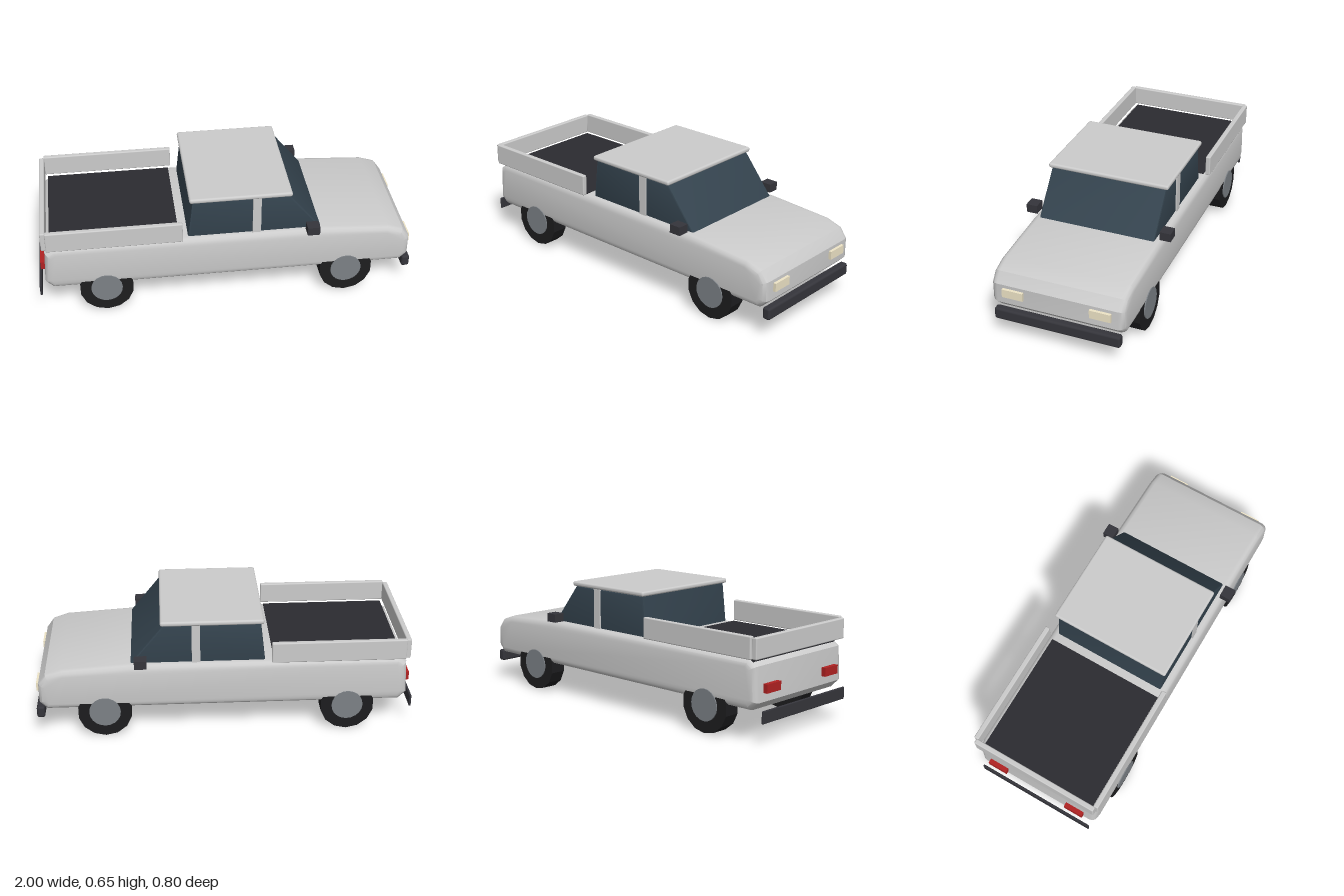
import * as THREE from 'three';
import { toCreasedNormals } from 'three/addons/utils/BufferGeometryUtils.js';
import { RoundedBoxGeometry } from 'three/addons/geometries/RoundedBoxGeometry.js';

const material = (color) => new THREE.MeshStandardMaterial({ color });
const paint = material(0xcccccc);
const glass = material(0x34434e);
const trim = material(0x35353b);
const bedLiner = material(0x2b2b30);
const rubber = material(0x1d1d1f);
const hubGrey = material(0x7c8186);
const lampCream = material(0xeee4c6);
const lampRed = material(0xb02222);

export function createModel() {
  const truck = new THREE.Group();
  truck.name = 'pickupTruck';

  function add(name, geometry, mat) {
    const mesh = new THREE.Mesh(geometry, mat);
    mesh.name = name;
    truck.add(mesh);
    return mesh;
  }

  // Box given by its extents; a radius rounds its edges
  function box(name, mat, [x0, x1], [y0, y1], [z0, z1], radius = 0) {
    const size = [x1 - x0, y1 - y0, z1 - z0];
    const geometry = radius
      ? new RoundedBoxGeometry(...size, 2, radius)
      : new THREE.BoxGeometry(...size);
    add(name, geometry, mat).position.set((x0 + x1) / 2, (y0 + y1) / 2, (z0 + z1) / 2);
  }

  // Side profile extruded across the width, growing by the bevel towards the middle
  function profileSolid(name, mat, points, halfWidth, bevel, segments) {
    const shape = new THREE.Shape(points.map(([x, y]) => new THREE.Vector2(x, y)));
    const depth = 2 * (halfWidth - bevel);
    const geometry = new THREE.ExtrudeGeometry(shape, {
      depth, bevelEnabled: true, bevelThickness: bevel, bevelSize: bevel, bevelSegments: segments,
    });
    geometry.translate(0, 0, -depth / 2);
    add(name, toCreasedNormals(geometry, 0.55), mat);
  }

  // Lower body with sloping bonnet
  profileSolid('body', paint, [
    [-0.93, 0.22], [-0.91, 0.2], [0.925, 0.2], [0.945, 0.22], [0.945, 0.3], [0.92, 0.335],
    [0.85, 0.358], [0.5, 0.38], [-0.9, 0.38], [-0.922, 0.365],
  ], 0.355, 0.035, 3);

  // Glazed cabin and roof
  profileSolid('cabinGlass', glass, [
    [-0.2, 0.41], [0.49, 0.41], [0.32, 0.615], [-0.176, 0.615],
  ], 0.318, 0.01, 2);
  box('roof', paint, [-0.2, 0.337], [0.626, 0.652], [-0.332, 0.332], 0.011);

  // Load bed
  box('bedFloor', bedLiner, [-0.93, -0.255], [0.4, 0.42], [-0.328, 0.328]);
  box('tailgate', paint, [-0.97, -0.943], [0.42, 0.527], [-0.355, 0.355], 0.006);

  // Bumpers
  box('frontBumper', trim, [0.955, 0.998], [0.109, 0.173], [-0.337, 0.337], 0.012);
  box('rearBumper', trim, [-1, -0.988], [0.11, 0.174], [-0.332, 0.332], 0.005);

  // Parts mirrored on both sides
  for (const [side, s] of [['left', 1], ['right', -1]]) {
    // the model faces +x, so its right-hand side is +z
    const label = side === 'left' ? 'right' : 'left';
    const z = (a, b) => (s > 0 ? [a, b] : [-b, -a]);
    box(`${label}BedSide`, paint, [-0.945, -0.24], [0.42, 0.533], z(0.343, 0.37), 0.006);
    box(`${label}DoorPillar`, paint, [0.131, 0.175], [0.405, 0.628], z(0.3, 0.326));
    box(`${label}Mirror`, trim, [0.41, 0.475], [0.42, 0.466], z(0.34, 0.4));
    box(`${label}Headlight`, lampCream, [0.965, 0.995], [0.249, 0.294], z(0.177, 0.289));
    box(`${label}TailLight`, lampRed, [-0.985, -0.955], [0.25, 0.295], z(0.18, 0.287));

    // Faceted tyres with hub discs
    for (const [end, x] of [['Front', 0.638], ['Rear', -0.648]]) {
      const tyre = new THREE.CylinderGeometry(0.143, 0.143, 0.088, 14).rotateX(Math.PI / 2);
      add(`${label}${end}Tyre`, toCreasedNormals(tyre, 0.3), rubber)
        .position.set(x, 0.143, s * 0.31);
      const hub = new THREE.CylinderGeometry(0.083, 0.083, 0.09, 20).rotateX(Math.PI / 2);
      add(`${label}${end}Hub`, hub, hubGrey).position.set(x, 0.146, s * 0.315);
    }
  }

  return truck;
}
